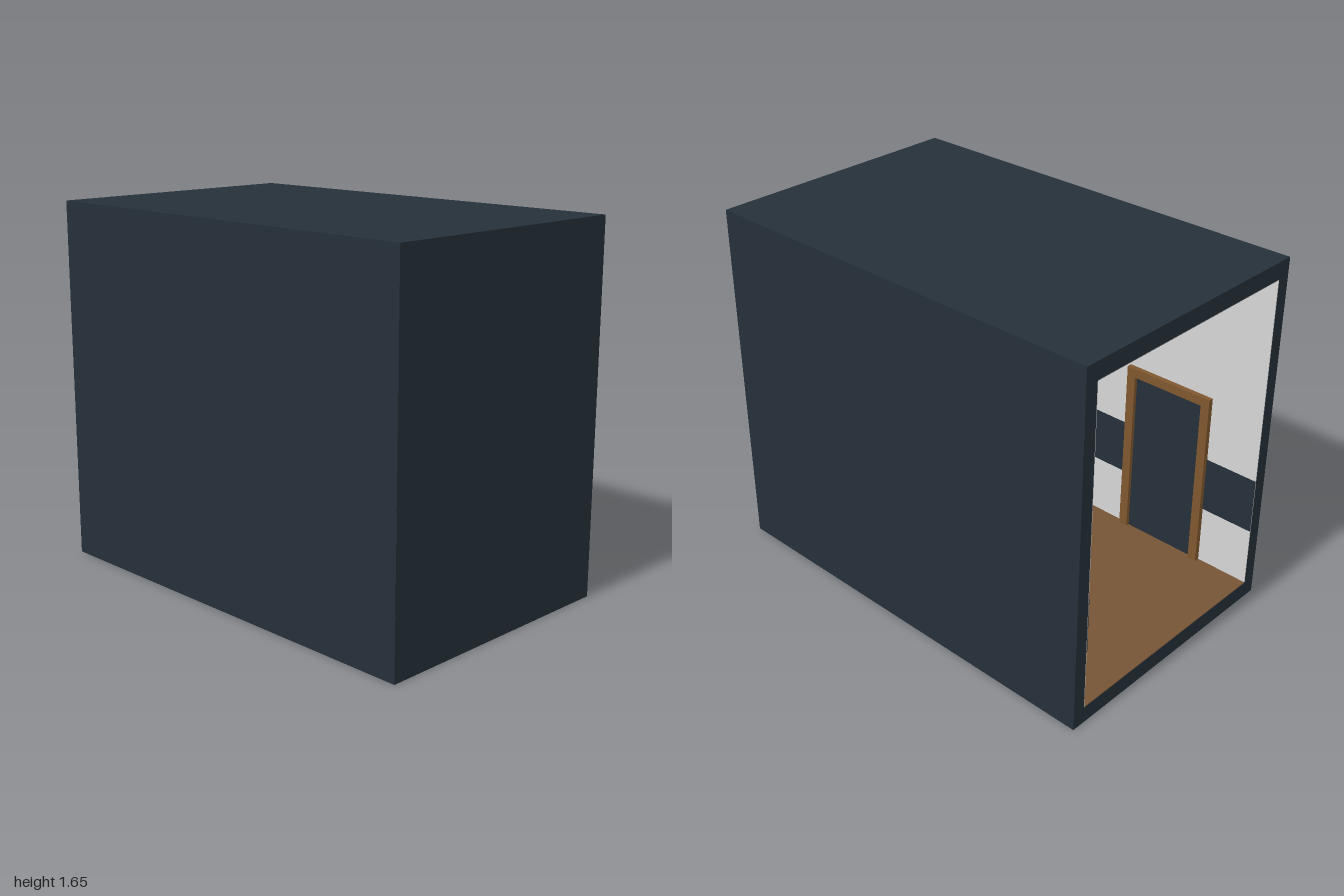
import * as THREE from 'three';

const paint = (name, color, side = THREE.FrontSide) => {
  const m = new THREE.MeshStandardMaterial({ color, side, flatShading: true });
  m.name = name;
  return m;
};

export function createModel() {
  const navy = paint('navy', 0x25303a);
  const white = paint('wall white', 0xd6d6d6);
  const ceilingGrey = paint('ceiling grey', 0x787a7a);
  const steel = paint('steel grey', 0x8b9294);
  const floorWood = paint('floor wood', 0x755535);
  const trimWood = paint('trim wood', 0x80582f);
  const glow = paint('lamp white', 0xe4e4e4);
  const green = paint('leaf green', 0x2b9058, THREE.DoubleSide);
  const soilBrown = paint('soil brown', 0x6a4a30);

  const root = new THREE.Group();
  root.name = 'hallway';
  const add = (name, geo, mat, parent = root) => {
    const m = new THREE.Mesh(geo, mat);
    m.name = name;
    parent.add(m);
    return m;
  };
  // Box given by its minimum and maximum corners
  const block = (name, mat, x0, x1, y0, y1, z0, z1, parent) => {
    const m = add(name, new THREE.BoxGeometry(x1 - x0, y1 - y0, z1 - z0), mat, parent);
    m.position.set((x0 + x1) / 2, (y0 + y1) / 2, (z0 + z1) / 2);
    return m;
  };

  const W = 0.617, H = 1.65, IN = 0.552, FLOOR = 0.08, CEIL = 1.57, END = 0.06;

  // Outer shell, open at the back; the solid part closes off the room
  block('shellFloor', navy, -W, W, 0, FLOOR - 0.004, -1, 1);
  block('shellRoof', navy, -W, W, CEIL + 0.004, H, -1, 1);
  block('shellFront', navy, -W, W, FLOOR - 0.004, CEIL + 0.004, END + 0.004, 1);
  for (const s of [-1, 1]) {
    const a = s * (IN + 0.004), b = s * W;
    block('shellSide', navy, Math.min(a, b), Math.max(a, b), FLOOR - 0.004, CEIL + 0.004, -1, END + 0.004);
  }

  // Room linings
  block('floor', floorWood, -IN, IN, FLOOR - 0.004, FLOOR, -0.999, END);
  block('ceiling', ceilingGrey, -IN, IN, CEIL, CEIL + 0.004, -0.999, END);
  block('endWall', white, -IN, IN, FLOOR, CEIL, END, END + 0.004);
  block('endStripe', navy, -IN, IN, 0.36, 0.62, END - 0.003, END);

  // Side walls with stripe and framed door, mirrored
  for (const s of [-1, 1]) {
    const side = new THREE.Group();
    side.name = s > 0 ? 'leftWall' : 'rightWall';
    root.add(side);
    const plate = (name, mat, depth, y0, y1, z0, z1) => {
      const a = s * IN, b = s * (IN - depth);
      block(name, mat, Math.min(a, b), Math.max(a, b), y0, y1, z0, z1, side);
    };
    plate('wall', white, -0.004, FLOOR, CEIL, -0.999, END);
    plate('stripe', navy, 0.003, 0.36, 0.62, -0.999, END);
    plate('door', navy, 0.006, FLOOR, 0.89, -0.70, -0.34);
    plate('doorJamb', trimWood, 0.024, FLOOR, 0.93, -0.745, -0.702);
    plate('doorJamb', trimWood, 0.024, FLOOR, 0.93, -0.342, -0.299);
    plate('doorHead', trimWood, 0.024, 0.888, 0.93, -0.702, -0.342);
  }

  // Sliding doors in a wide surround on the end wall
  const surround = new THREE.Shape();
  surround.moveTo(-0.388, FLOOR).lineTo(-0.278, FLOOR).lineTo(-0.278, 0.89).lineTo(0.278, 0.89)
    .lineTo(0.278, FLOOR).lineTo(0.388, FLOOR).lineTo(0.388, 1.12).lineTo(-0.388, 1.12).closePath();
  add('slidingDoorSurround', new THREE.ExtrudeGeometry(surround, { depth: 0.025, bevelEnabled: false }), steel)
    .position.z = END - 0.025;
  block('slidingDoorRight', steel, -0.278, -0.002, FLOOR, 0.89, END - 0.008, END - 0.001);
  block('slidingDoorLeft', steel, 0.002, 0.278, FLOOR, 0.89, END - 0.008, END - 0.001);

  // Square ceiling lamp
  const square = (r) => [[-r, -r], [r, -r], [r, r], [-r, r]].map(([x, y]) => new THREE.Vector2(x, y));
  const rim = new THREE.Shape(square(0.235));
  rim.holes.push(new THREE.Path(square(0.195)));
  const lampRim = add('lampRim', new THREE.ExtrudeGeometry(rim, { depth: 0.025, bevelEnabled: false }), navy);
  lampRim.rotation.x = Math.PI / 2;
  lampRim.position.set(0, CEIL, -0.432);
  block('lampPanel', glow, -0.195, 0.195, CEIL - 0.012, CEIL, -0.627, -0.237);

  // Potted plant
  const plant = new THREE.Group();
  plant.name = 'pottedPlant';
  plant.position.set(0.392, FLOOR, -0.167);
  root.add(plant);
  const profile = [[0, 0], [0.06, 0], [0.092, 0.035], [0.105, 0.08], [0.095, 0.125], [0.077, 0.148],
    [0.09, 0.165], [0.09, 0.185], [0.075, 0.185], [0.07, 0.165]].map(([r, y]) => new THREE.Vector2(r, y));
  add('pot', new THREE.LatheGeometry(profile, 10), navy, plant);
  add('soil', new THREE.CylinderGeometry(0.074, 0.074, 0.01, 10), soilBrown, plant).position.y = 0.167;

  // Arching stem ending in a creased blade; heights are above the floor
  const leaf = (angle, reach, archY, tipY, width, start) => {
    const c = Math.cos(angle), s = Math.sin(angle);
    const at = (r, y) => new THREE.Vector3(c * r, y, s * r);
    const spine = new THREE.QuadraticBezierCurve3(at(0.01, 0.165), at(reach * 0.35, archY), at(reach, tipY));
    const stemPath = new THREE.CatmullRomCurve3([0, 0.33, 0.67, 1].map((t) => spine.getPoint(t * (start + 0.04))));
    add('stem', new THREE.TubeGeometry(stemPath, 6, 0.005, 5), green, plant);
    const rows = 7, pos = [], index = [];
    for (let i = 0; i <= rows; i++) {
      const k = i / rows, p = spine.getPoint(start + (1 - start) * k);
      const half = width / 2 * Math.sin(Math.PI * Math.pow(k, 0.8));
      pos.push(p.x - s * half, p.y + half * 0.2, p.z + c * half, p.x, p.y, p.z,
        p.x + s * half, p.y + half * 0.2, p.z - c * half);
      if (i < rows) for (const j of [0, 1]) {
        const a = i * 3 + j;
        index.push(a, a + 1, a + 3, a + 1, a + 4, a + 3);
      }
    }
    const g = new THREE.BufferGeometry();
    g.setAttribute('position', new THREE.Float32BufferAttribute(pos, 3));
    g.setIndex(index);
    g.computeVertexNormals();
    add('leaf', g, green, plant);
  };
  leaf(-2.18, 0.05, 0.42, 0.57, 0.08, 0.68);
  leaf(-1.28, 0.2, 0.49, 0.45, 0.06, 0.45);
  leaf(2.18, 0.14, 0.42, 0.32, 0.06, 0.45);
  for (let i = 0; i < 9; i++) {
    const v = (i * 7 % 9) / 9;
    leaf(i * 2.4 + 0.4, 0.09 + 0.04 * v, 0.27 + 0.12 * v, 0.2 + 0.1 * v, 0.042, 0.4);
  }
  return root;
}
